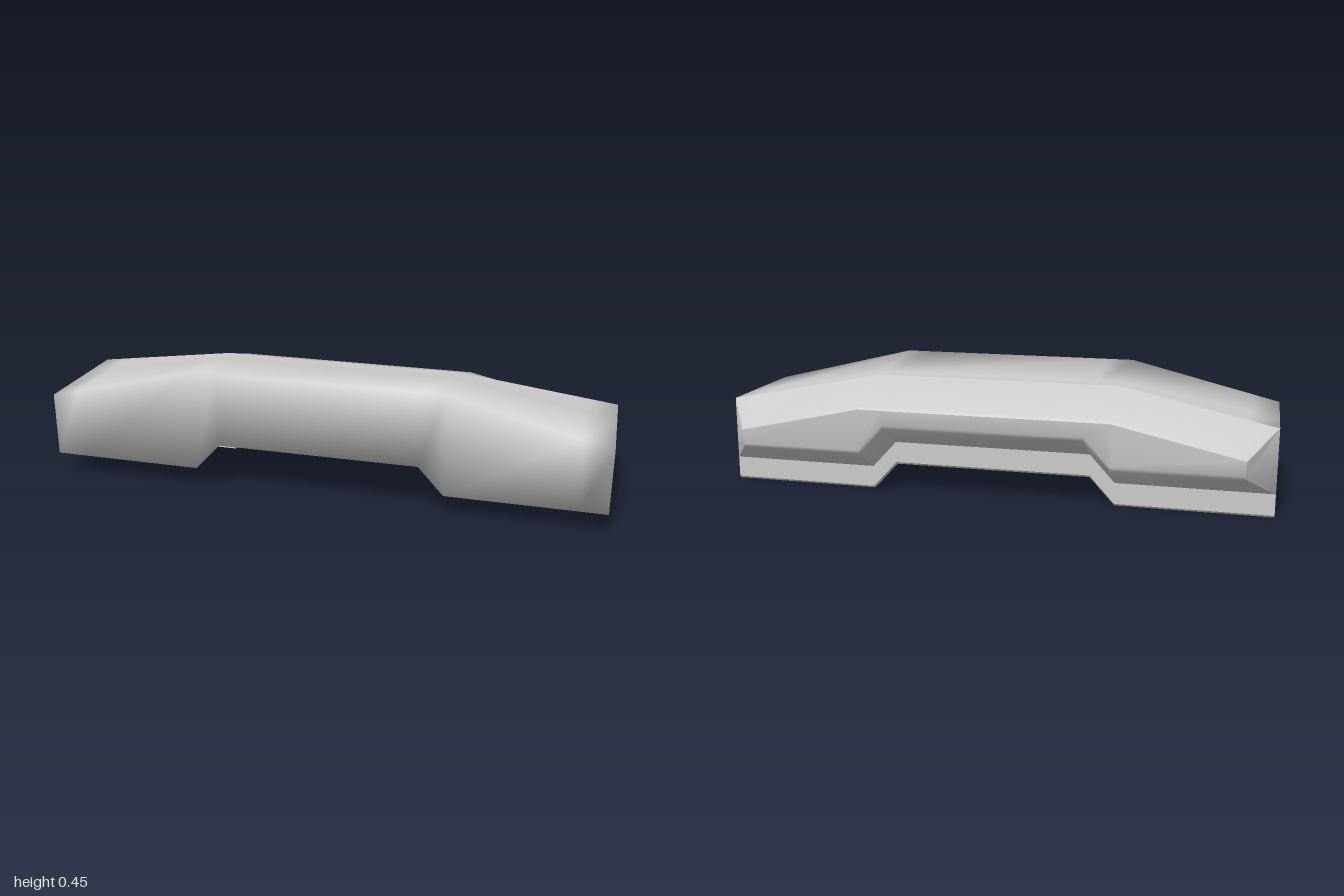
import * as THREE from 'three';
import { toCreasedNormals } from 'three/addons/utils/BufferGeometryUtils.js';

// Stations along the width, from the left end to the right end
const stations = [1, 0.9, 0.45, 0.36, -0.36, -0.45, -0.9, -1];
const clamp = (v) => THREE.MathUtils.clamp(v, 0, 1);

// Key heights and depths at a station
function measures(x) {
  const a = Math.abs(x);
  const rise = clamp((1 - a) / 0.55);            // roof rises toward the middle
  const lift = 0.098 * clamp((0.45 - a) / 0.09); // underside is raised in the middle
  return {
    end: a > 0.95,
    lift,
    rise,
    rearTop: 0.24 + 0.1 * clamp((0.9 - a) / 0.45),
    ridge: [-0.14 + 0.088 * rise, 0.315 + 0.1 * rise],
  };
}

// Underside, front and roof as [z, y]
function frontSection(x) {
  const { lift, rise, ridge } = measures(x);
  return [
    [-0.105, 0.084 + lift],
    [0.29, 0.084 + lift],
    [0.29, 0.315 + 0.135 * rise],
    [0.01, 0.315 + 0.1 * rise],
    ridge,
  ];
}

// Rear slopes and hanging lip as [z, y]; the rear closes to a corner at the ends
function rearSection(x) {
  const { end, lift, ridge, rearTop } = measures(x);
  const low = [-0.141, 0.085 + lift];
  const rear = end
    ? [ridge, ridge, low, low]
    : [
        [-0.28, rearTop + 0.003],
        [-0.289, rearTop - 0.008],
        [-0.285, 0.18 + lift],
        [-0.278, 0.167 + lift],
      ];
  return [
    ridge,
    ...rear,
    low,
    [-0.141, 0.008 + lift],
    [-0.134, lift],
    [-0.105, lift],
    [-0.105, 0.084 + lift],
  ];
}

// Skin a section along the stations and close both ends with the chosen points
function loft(section, capPoints, extraCapPoint) {
  const positions = [];
  const index = [];
  const rows = stations.map((x) => {
    const row = section(x);
    if (extraCapPoint) row.push(extraCapPoint);
    row.forEach(([z, y]) => positions.push(x, y, z));
    return row.length;
  });
  const n = rows[0];
  const strip = extraCapPoint ? n - 2 : n - 1;
  for (let i = 0; i < stations.length - 1; i++) {
    for (let j = 0; j < strip; j++) {
      const a = i * n + j, b = a + 1, c = a + n, d = c + 1;
      index.push(a, b, c, b, d, c);
    }
  }
  const last = (stations.length - 1) * n;
  for (let k = 1; k < capPoints.length - 1; k++) {
    const [p, q, r] = [capPoints[0], capPoints[k], capPoints[k + 1]];
    index.push(p, r, q, last + p, last + q, last + r);
  }
  const geometry = new THREE.BufferGeometry();
  geometry.setAttribute('position', new THREE.Float32BufferAttribute(positions, 3));
  geometry.setIndex(index);
  return geometry;
}

export function createModel() {
  const group = new THREE.Group();
  group.name = 'bumper';
  const material = new THREE.MeshStandardMaterial({ color: 0xcccccc });
  const add = (name, geometry) => {
    const mesh = new THREE.Mesh(geometry, material);
    mesh.name = name;
    group.add(mesh);
  };

  // Softly shaded front body with its flat ends
  const front = loft(frontSection, [0, 1, 2, 3, 4, 5], [-0.141, 0.085]);
  front.computeVertexNormals();
  add('frontBody', front);

  // Chamfered rear with the hanging lip
  const rear = loft(rearSection, [5, 6, 7, 8, 9]);
  add('rearBodyAndLip', toCreasedNormals(rear, 0.65));

  return group;
}
